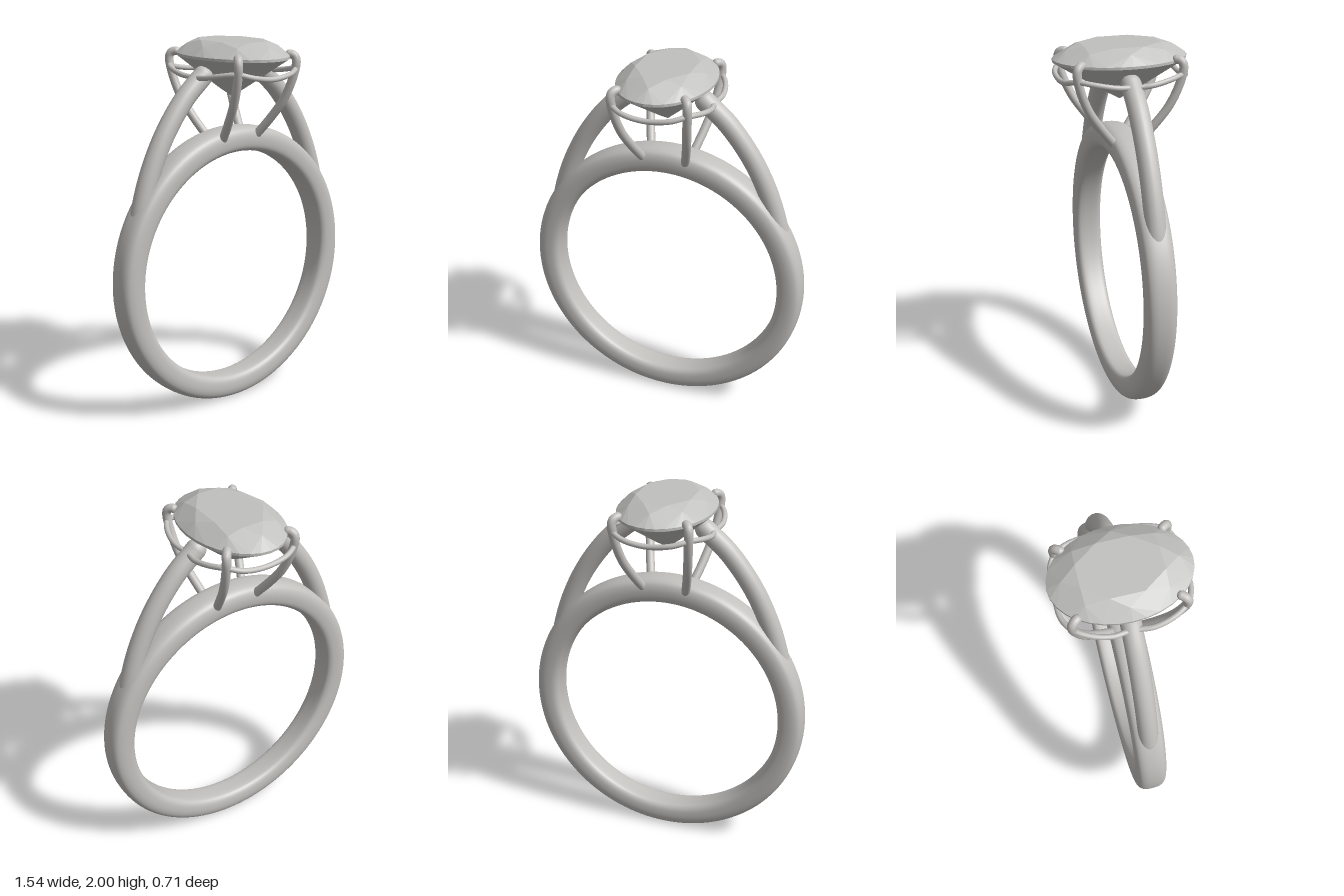
import * as THREE from 'three';

const V = (x, y, z) => new THREE.Vector3(x, y, z);
const curveOf = (pts, closed = false) =>
  new THREE.CatmullRomCurve3(pts.map(p => V(...p)), closed, 'centripetal');

const metal = new THREE.MeshStandardMaterial({ color: 0xc2c0bd });
metal.name = 'polished metal';
const stone = new THREE.MeshStandardMaterial({ color: 0xc0c0be, flatShading: true });
stone.name = 'stone';

function addMesh(parent, name, geometry, material) {
  const mesh = new THREE.Mesh(geometry, material);
  mesh.name = name;
  parent.add(mesh);
  return mesh;
}

// Round wire along a path, with ball ends
function addWire(parent, name, pts, radius, segments) {
  const group = new THREE.Group();
  group.name = name;
  const path = curveOf(pts);
  addMesh(group, name + 'Rod', new THREE.TubeGeometry(path, segments, radius, 20), metal);
  for (const t of [0, 1]) {
    addMesh(group, name + 'End', new THREE.SphereGeometry(radius, 20, 12), metal)
      .position.copy(path.getPoint(t));
  }
  parent.add(group);
  return group;
}

// Comfort-shaped band, slightly wider at the top
function bandGeometry() {
  const half = [[0.637, 0.045], [0.643, 0.064], [0.66, 0.078], [0.69, 0.084],
    [0.725, 0.082], [0.752, 0.07], [0.767, 0.045]];
  const loop = [[0.635, 0], ...half.map(([r, z]) => [r, -z]), [0.772, 0], ...half.slice().reverse()];
  const profile = curveOf(loop.map(([r, z]) => [r, z, 0]), true).getPoints(64)
    .map(p => new THREE.Vector2(p.x, p.y));
  const geo = new THREE.LatheGeometry(profile, 128);
  geo.rotateX(Math.PI / 2);
  const pos = geo.attributes.position;
  for (let i = 0; i < pos.count; i++) {
    pos.setZ(i, pos.getZ(i) * (0.965 + 0.08 * pos.getY(i)));
  }
  geo.translate(0, 0.772, 0);
  return geo;
}

// Oval brilliant: table, stars, kites, girdle and pavilion facets
function gemGeometry() {
  const out = [];
  const centre = V(0, 1.9, 0);
  const at = (deg, r, y) => {
    const a = THREE.MathUtils.degToRad(deg);
    return V(0.25 * r * Math.cos(a), y, 0.355 * r * Math.sin(a));
  };
  const tri = (a, b, c) => {
    const n = b.clone().sub(a).cross(c.clone().sub(a));
    const outward = n.dot(a.clone().add(b).add(c).divideScalar(3).sub(centre)) > 0;
    for (const p of outward ? [a, b, c] : [a, c, b]) out.push(p.x, p.y, p.z);
  };
  const top = V(0, 2, 0), culet = V(0, 1.7, 0);
  for (let k = 0; k < 8; k++) {
    const d = k * 45, lo = d - 22.5, hi = d + 22.5;
    const table = a => at(a, 0.62, 2);
    const star = a => at(a, 0.8, 1.977);
    const lower = a => at(a, 0.27, 1.753);
    const upperRim = a => at(a, 1, 1.928);
    const lowerRim = a => at(a, 1, 1.914);
    tri(top, table(lo), table(hi));
    tri(table(lo), table(hi), star(d));
    tri(table(hi), star(d), upperRim(hi));
    tri(table(hi), upperRim(hi), star(d + 45));
    tri(culet, lower(d), lowerRim(hi));
    tri(culet, lowerRim(hi), lower(d + 45));
    for (let j = 0; j < 4; j++) {
      const a = lo + j * 11.25, b = a + 11.25;
      tri(star(d), upperRim(a), upperRim(b));
      tri(upperRim(a), lowerRim(a), lowerRim(b));
      tri(upperRim(a), lowerRim(b), upperRim(b));
      tri(lower(d), lowerRim(a), lowerRim(b));
    }
  }
  const geo = new THREE.BufferGeometry();
  geo.setAttribute('position', new THREE.Float32BufferAttribute(out, 3));
  geo.computeVertexNormals();
  return geo;
}

export function createModel() {
  const ring = new THREE.Group();
  ring.name = 'ring';

  addMesh(ring, 'band', bandGeometry(), metal);
  addMesh(ring, 'gem', gemGeometry(), stone);

  // Shoulders sweeping from the band up to the setting
  for (const s of [1, -1]) {
    addWire(ring, s > 0 ? 'leftShoulder' : 'rightShoulder', [
      [0.635 * s, 1.05, 0], [0.61 * s, 1.18, 0], [0.55 * s, 1.36, 0],
      [0.455 * s, 1.545, 0], [0.325 * s, 1.715, 0], [0.2 * s, 1.825, 0],
    ], 0.053, 48);
  }

  // Four prongs hooked over the rim of the gem
  for (const sx of [1, -1]) for (const sz of [1, -1]) {
    const name = (sz > 0 ? 'front' : 'back') + (sx > 0 ? 'Left' : 'Right') + 'Prong';
    addWire(ring, name, [
      [0.12, 1.495, 0.07], [0.15, 1.59, 0.145], [0.175, 1.69, 0.213], [0.192, 1.8, 0.26],
      [0.2, 1.89, 0.28], [0.197, 1.918, 0.275], [0.187, 1.93, 0.262], [0.178, 1.932, 0.25],
    ].map(([x, y, z]) => [x * sx, y, z * sz]), 0.023, 48);
  }

  // Gallery wire, rising at each prong and dipping between them
  const quarter = [[0.255, 1.822, 0.03], [0.264, 1.83, 0.1], [0.244, 1.847, 0.2],
    [0.2, 1.857, 0.275], [0.125, 1.838, 0.316]];
  const front = [...quarter, [0, 1.822, 0.322],
    ...quarter.slice().reverse().map(([x, y, z]) => [-x, y, z])];
  const loop = [...front, ...front.map(([x, y, z]) => [-x, y, -z])];
  addMesh(ring, 'galleryWire', new THREE.TubeGeometry(curveOf(loop, true), 160, 0.014, 14, true), metal);

  return ring;
}
